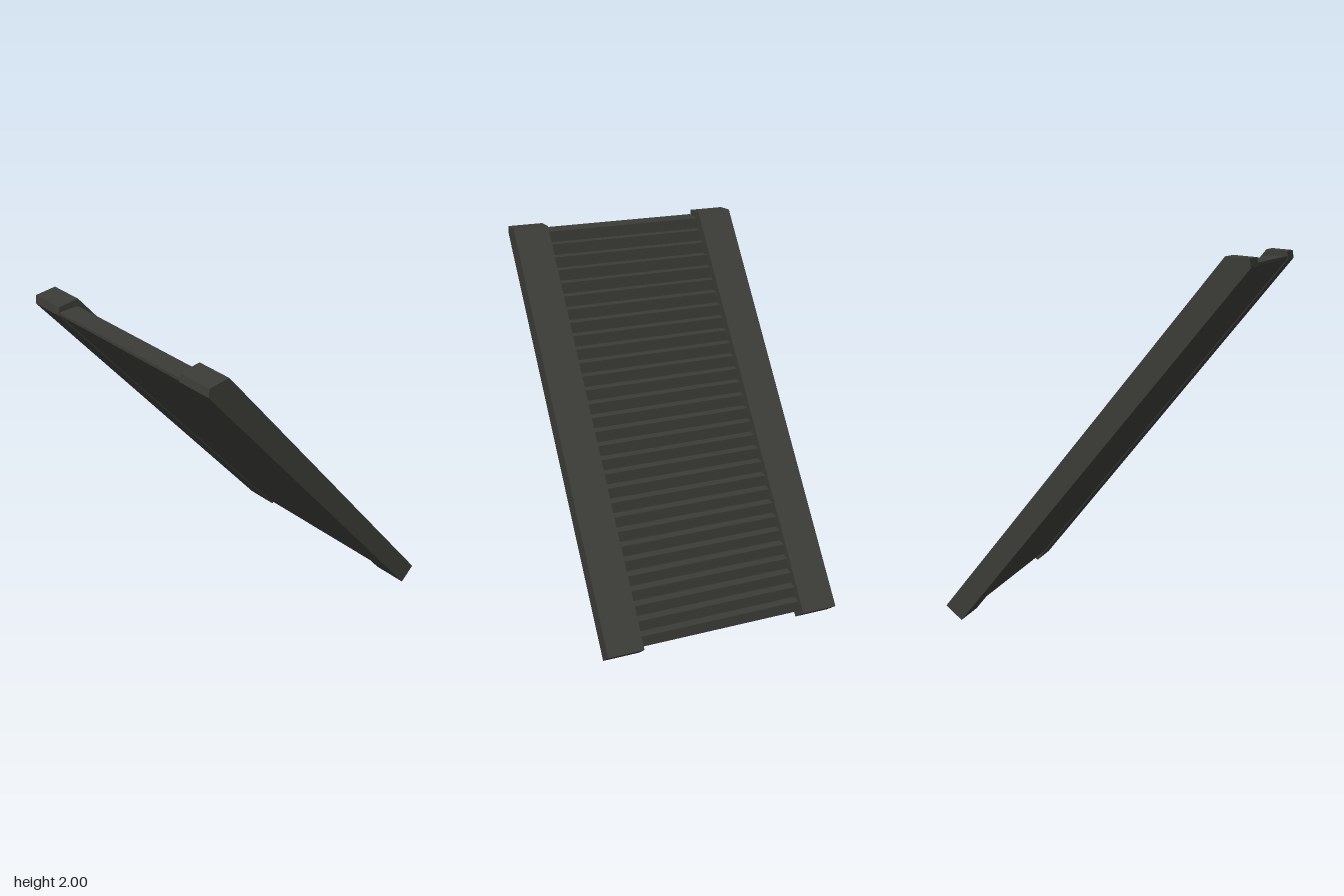
import * as THREE from 'three';

const material = new THREE.MeshStandardMaterial({ color: 0x3b3c37, flatShading: true });

// Side outline in x/y, extruded from z0 to z1
function slab(name, points, z0, z1) {
  const shape = new THREE.Shape(points.map(([x, y]) => new THREE.Vector2(x, y)));
  const geometry = new THREE.ExtrudeGeometry(shape, { depth: z1 - z0, bevelEnabled: false });
  geometry.translate(0, 0, z0);
  const mesh = new THREE.Mesh(geometry, material);
  mesh.name = name;
  return mesh;
}

export function createModel() {
  const group = new THREE.Group();
  group.name = 'staircase';

  // Sloping side rails with a clipped upper end
  const rail = [[0.74, 0], [0.83, 0.075], [-0.706, 2], [-0.826, 1.99], [-0.833, 1.945]];
  group.add(slab('frontRail', rail, 0.47, 0.672));
  group.add(slab('backRail', rail, -0.675, -0.473));

  // Stepped flight: 30 risers climbing towards -x, flat sloping underside
  const risers = 30;
  const xLow = 0.777, xHigh = -0.715, yLow = 0.06, yHigh = 1.963;
  const rise = (yHigh - yLow) / risers;
  const run = (xLow - xHigh) / (risers - 1);
  const steps = [[0.697, yLow]];
  for (let i = 0; i < risers; i++) {
    const x = xLow - i * run;
    steps.push([x, yLow + i * rise], [x, yLow + (i + 1) * rise]);
  }
  // Top landing and its back edge
  steps.push([-0.829, yHigh], [-0.829, 1.947]);
  group.add(slab('steps', steps, -0.468, 0.47));

  return group;
}
